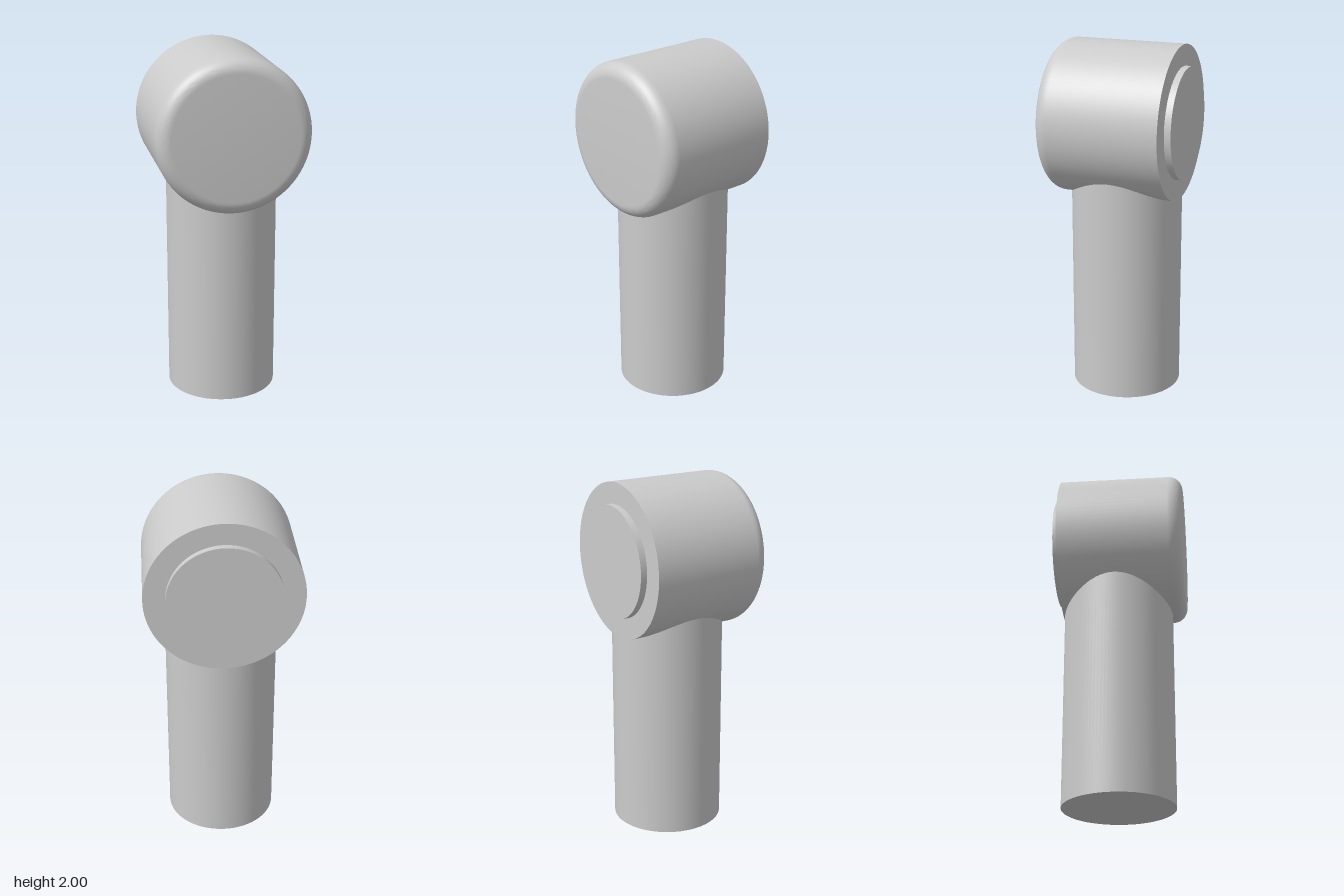
import * as THREE from 'three';
import { toCreasedNormals } from 'three/addons/utils/BufferGeometryUtils.js';

const SEGMENTS = 96;
const HEAD_Y = 1.57, HEAD_R = 0.43, HEAD_BACK = -0.335, HEAD_FRONT = 0.372, FILLET = 0.08;
const STEM_R = 0.312, STEM_TOP = 1.42, STEM_Z = -0.018;
const BOSS_R = 0.312, BOSS_BACK = -0.372;

export function createModel() {
  const model = new THREE.Group();
  const material = new THREE.MeshStandardMaterial({ color: 0xcccccc });

  function add(name, geometry, x, y, z) {
    const mesh = new THREE.Mesh(geometry, material);
    mesh.name = name;
    mesh.position.set(x, y, z);
    model.add(mesh);
  }

  // Upright stem, its top end buried in the head
  add('stem', new THREE.CylinderGeometry(STEM_R, STEM_R, STEM_TOP, SEGMENTS), 0, STEM_TOP / 2, STEM_Z);

  // Horizontal head: sharp rim at the back, rounded rim at the front
  const profile = [
    new THREE.Vector2(0, HEAD_BACK),
    new THREE.Vector2(HEAD_R, HEAD_BACK),
  ];
  for (let i = 0; i <= 12; i++) {
    const a = (i / 12) * Math.PI / 2;
    profile.push(new THREE.Vector2(
      HEAD_R - FILLET + FILLET * Math.cos(a),
      HEAD_FRONT - FILLET + FILLET * Math.sin(a)
    ));
  }
  profile.push(new THREE.Vector2(0, HEAD_FRONT));
  const head = new THREE.LatheGeometry(profile, SEGMENTS).rotateX(Math.PI / 2);
  add('head', toCreasedNormals(head, Math.PI / 6), 0, HEAD_Y, 0);

  // Shallow round boss on the back of the head
  const depth = HEAD_BACK - BOSS_BACK + 0.02;
  const boss = new THREE.CylinderGeometry(BOSS_R, BOSS_R, depth, SEGMENTS).rotateX(Math.PI / 2);
  add('backBoss', boss, 0, HEAD_Y, BOSS_BACK + depth / 2);

  return model;
}
